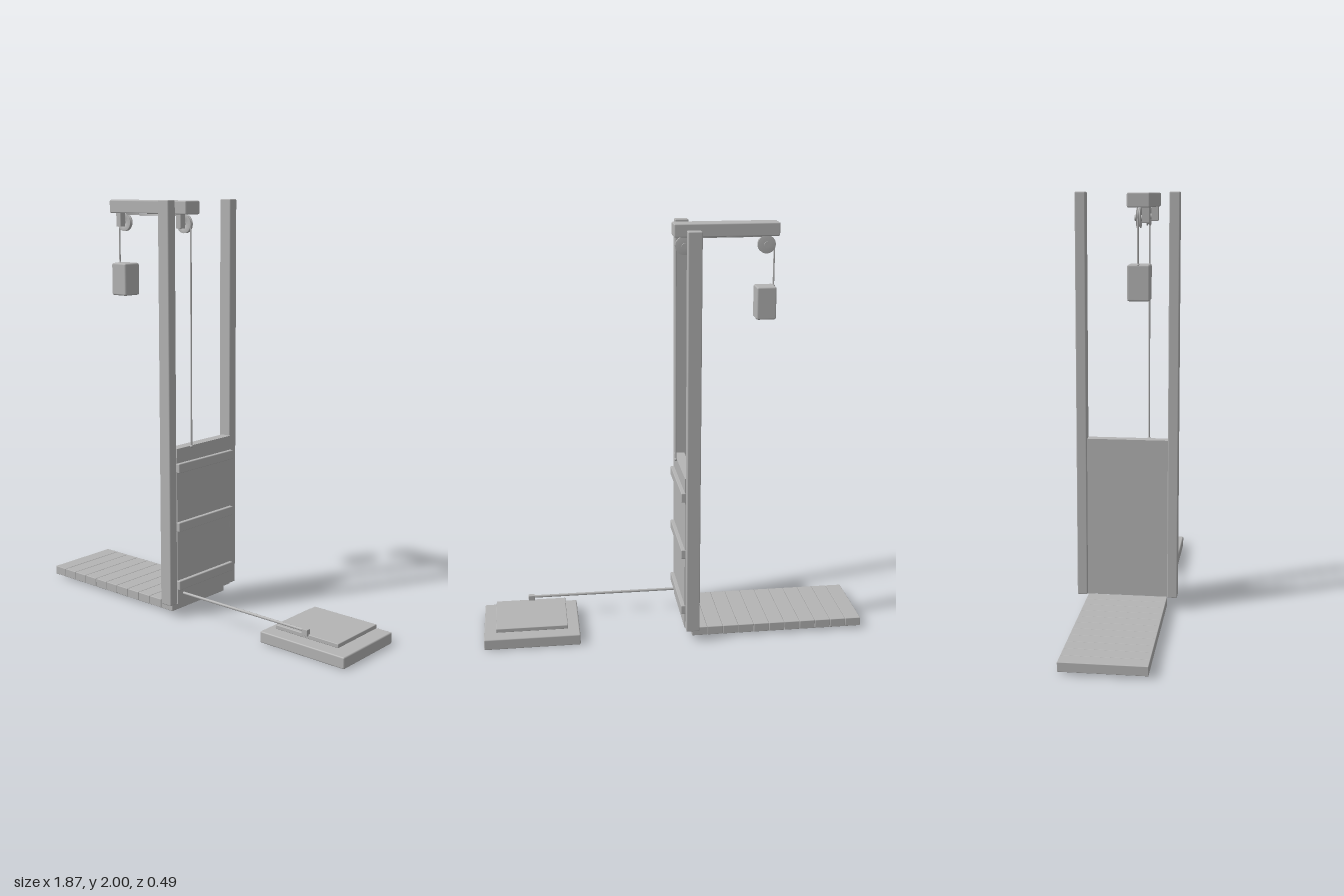
import * as THREE from 'three';
import { RoundedBoxGeometry } from 'three/addons/geometries/RoundedBoxGeometry.js';

export function createModel() {
  const model = new THREE.Group();
  model.name = 'counterweightGate';
  const grey = new THREE.MeshStandardMaterial({ color: 0xb4b4b4 });
  grey.name = 'plain grey';

  function add(name, geometry, x = 0, y = 0, z = 0) {
    const mesh = new THREE.Mesh(geometry, grey);
    mesh.name = name;
    mesh.position.set(x, y, z);
    model.add(mesh);
    return mesh;
  }
  // Box given by its limits on each axis, with softly worn edges
  function block(name, [x0, x1], [y0, y1], [z0, z1], r = 0.004) {
    const size = [x1 - x0, y1 - y0, z1 - z0];
    const geometry = r > 0 ? new RoundedBoxGeometry(...size, 1, r) : new THREE.BoxGeometry(...size);
    return add(name, geometry, (x0 + x1) / 2, (y0 + y1) / 2, (z0 + z1) / 2);
  }
  // Round bar between two points
  function bar(name, a, b, radius, sides = 8) {
    const path = new THREE.LineCurve3(new THREE.Vector3(...a), new THREE.Vector3(...b));
    const mesh = add(name, new THREE.CylinderGeometry(radius, radius, path.getLength(), sides));
    mesh.position.copy(path.getPoint(0.5));
    mesh.quaternion.setFromUnitVectors(new THREE.Vector3(0, 1, 0), path.getTangent(0));
    return mesh;
  }

  // Plank walkway
  const plankWidth = 0.0776;
  for (let i = 0; i < 11; i++) {
    const x = -0.935 + i * plankWidth;
    block('walkwayPlank', [x, x + plankWidth - 0.001], [0.012, 0.056], [-0.194, 0.194], 0.003);
  }

  // Guide posts
  for (const side of [-1, 1]) {
    const z = side * 0.2195;
    block('guidePost', [-0.112, -0.047], [0.06, 2], [z - 0.0245, z + 0.0245], 0.005);
  }

  // Sliding door with three battens
  block('doorPanel', [-0.095, -0.044], [0.06, 0.836], [-0.196, 0.196], 0);
  for (const y of [0.157, 0.451, 0.742]) {
    block('doorBatten', [-0.05, -0.026], [y - 0.023, y + 0.023], [-0.2, 0.2]);
  }

  // Overhead beam
  block('overheadBeam', [-0.525, -0.024], [1.933, 1.996], [0.051, 0.149], 0.006);

  // Pulleys: grooved wheel, hub pin and single hanger
  const pulleyY = 1.889, ropeZ = 0.098;
  const wheelProfile = [
    [0.012, -0.009], [0.043, -0.009], [0.043, -0.006], [0.037, -0.002],
    [0.037, 0.002], [0.043, 0.006], [0.043, 0.009], [0.012, 0.009], [0.012, -0.009],
  ].map(([r, h]) => new THREE.Vector2(r, h));
  for (const x of [-0.47, -0.077]) {
    const wheel = add('pulleyWheel', new THREE.LatheGeometry(wheelProfile, 24), x, pulleyY, ropeZ);
    wheel.rotation.x = Math.PI / 2;
    bar('pulleyPin', [x, pulleyY, 0.08], [x, pulleyY, 0.125], 0.013, 12);
    block('pulleyHanger', [x - 0.015, x + 0.015], [1.868, 1.938], [0.111, 0.143], 0.002);
  }

  // Rope runs from the weight, over both pulleys, down to the door
  const reach = 0.038;
  const points = [new THREE.Vector3(-0.47 - reach, 1.685, ropeZ)];
  for (let i = 0; i <= 6; i++) {
    const a = Math.PI - i * Math.PI / 12;
    points.push(new THREE.Vector3(-0.47 + reach * Math.cos(a), pulleyY + reach * Math.sin(a), ropeZ));
  }
  for (let i = 0; i <= 6; i++) {
    const a = Math.PI / 2 - i * Math.PI / 12;
    points.push(new THREE.Vector3(-0.077 + reach * Math.cos(a), pulleyY + reach * Math.sin(a), ropeZ));
  }
  points.push(new THREE.Vector3(-0.077 + reach, 0.83, ropeZ));
  const ropePath = new THREE.CurvePath();
  for (let i = 1; i < points.length; i++) ropePath.add(new THREE.LineCurve3(points[i - 1], points[i]));
  add('rope', new THREE.TubeGeometry(ropePath, 160, 0.004, 6));
  for (const p of [points[0], points[points.length - 1]]) {
    add('ropeKnot', new THREE.SphereGeometry(0.008, 10, 8), p.x, p.y + 0.004, p.z);
  }

  // Counterweight
  block('counterweight', [-0.516, -0.421], [1.535, 1.692], [0.051, 0.149], 0.008);

  // Pressure plate on its base, with two low springs between
  block('plateBase', [0.466, 0.932], [0, 0.055], [-0.194, 0.194], 0.006);
  block('pressurePlate', [0.525, 0.873], [0.07, 0.09], [-0.154, 0.154], 0.003);
  for (const x of [0.58, 0.818]) {
    add('plateSpring', new THREE.CylinderGeometry(0.018, 0.018, 0.018, 12), x, 0.0625, 0);
  }

  // Linkage rod from the plate to the door
  bar('linkageRod', [-0.06, 0.106, 0.153], [0.7, 0.106, 0.153], 0.007);
  block('linkageClevis', [0.68, 0.711], [0.084, 0.115], [0.141, 0.165], 0.002);

  return model;
}
